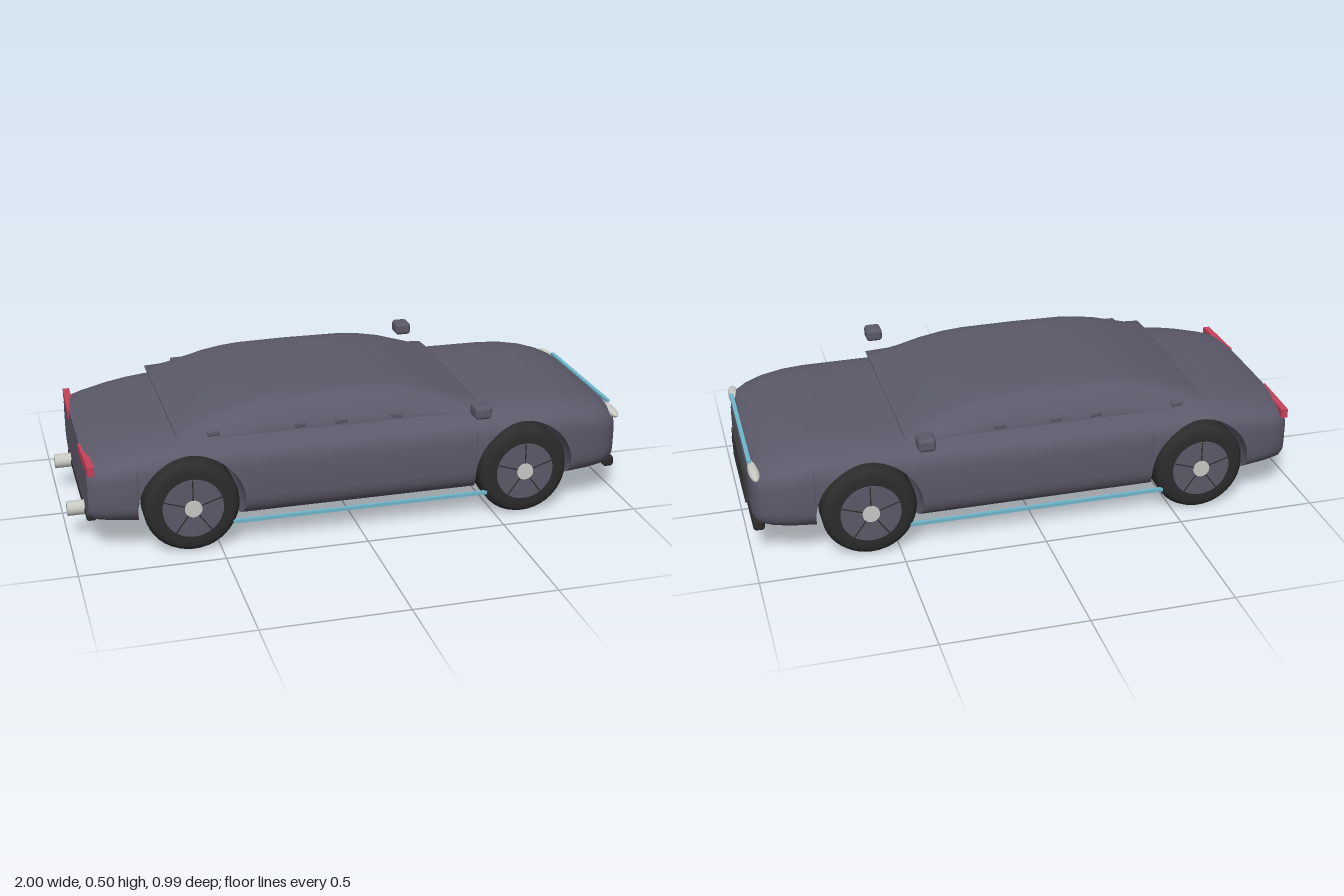
import * as THREE from 'three';
import { toCreasedNormals } from 'three/addons/utils/BufferGeometryUtils.js';
import { RoundedBoxGeometry } from 'three/addons/geometries/RoundedBoxGeometry.js';

const material = (name, color) => {
  const m = new THREE.MeshStandardMaterial({ color });
  m.name = name;
  return m;
};

// Linear interpolation in a table of [x, value, value, ...]
function sample(table, x) {
  let i = 0;
  while (i < table.length - 2 && x > table[i + 1][0]) i++;
  const a = table[i], b = table[i + 1];
  const t = THREE.MathUtils.clamp((x - a[0]) / (b[0] - a[0]), 0, 1);
  return a.slice(1).map((v, k) => v + (b[k + 1] - v) * t);
}

const quad = (out, a, b, c, d) => out.push(...a, ...b, ...c, ...a, ...c, ...d);

// Skin between rings that run up the +z side and down the -z side
function skin(out, rings, closed) {
  for (let i = 0; i + 1 < rings.length; i++) {
    const p = rings[i], q = rings[i + 1], n = p.length;
    for (let j = 0; j < (closed ? n : n - 1); j++) {
      const k = (j + 1) % n;
      quad(out, p[j], q[j], q[k], p[k]);
    }
  }
}

// Wall across the car over the first rows of a ring
function wall(out, ring, rows, facingFront) {
  const n = ring.length - 1;
  for (let j = 0; j < rows; j++) {
    const c = [ring[j], ring[n - j], ring[n - j - 1], ring[j + 1]];
    if (!facingFront) c.reverse();
    quad(out, ...c);
  }
}

function toGeometry(positions, crease) {
  const g = new THREE.BufferGeometry();
  g.setAttribute('position', new THREE.Float32BufferAttribute(positions, 3));
  return toCreasedNormals(g, crease);
}

const WHEELS = [-0.595, 0.6], AXLE = 0.165, ARCH = 0.184;

// x, half width, bottom, top
const BODY = [
  [-0.94, 0.365, 0.112, 0.332], [-0.92, 0.385, 0.106, 0.34], [-0.87, 0.4, 0.1, 0.353],
  [-0.78, 0.414, 0.092, 0.373], [-0.7, 0.42, 0.087, 0.387], [-0.62, 0.424, 0.084, 0.395],
  [-0.4, 0.427, 0.08, 0.396], [0.4, 0.427, 0.08, 0.397], [0.7, 0.422, 0.085, 0.397],
  [0.78, 0.415, 0.09, 0.393], [0.86, 0.404, 0.095, 0.38], [0.92, 0.388, 0.1, 0.362],
  [0.96, 0.364, 0.105, 0.344], [0.978, 0.335, 0.11, 0.328], [0.986, 0.295, 0.12, 0.305],
];

function bodyGeometry() {
  const LOW = 10, HIGH = 18, N = 4.5, out = [];
  const spow = (v, e) => Math.sign(v) * Math.abs(v) ** e;
  // Rounded section at x; startY gives an open section, edge bends it round an arch
  function ring(x, startY, edge) {
    const [w, bottom, top] = sample(BODY, x);
    const mid = (bottom + top) / 2, h = (top - bottom) / 2;
    const angleAt = (y) => Math.asin(THREE.MathUtils.clamp(spow((y - mid) / h, N / 2), -1, 1));
    const angles = [], split = angleAt(startY ?? AXLE);
    if (startY === undefined)
      for (let i = 0; i < LOW; i++) angles.push(-Math.PI / 2 + (split + Math.PI / 2) * i / LOW);
    for (let i = 0; i <= HIGH; i++) angles.push(split + (Math.PI / 2 - split) * i / HIGH);
    const side = angles.map((a) => {
      const y = mid + h * spow(Math.sin(a), 2 / N);
      const z = w * Math.max(Math.cos(a), 0) ** (2 / N);
      const px = edge && y < AXLE
        ? edge.c + edge.s * Math.sqrt(ARCH ** 2 - (y - AXLE) ** 2) : x;
      return [px, y, z];
    });
    return [...side, ...side.slice().reverse().map(([px, y, z]) => [px, y, -z])];
  }
  // Solid stretches behind, between and ahead of the arches
  const [r, f] = WHEELS, x0 = BODY[0][0], x1 = BODY[BODY.length - 1][0];
  const spans = [
    [x0, r - ARCH, null, { c: r, s: -1 }],
    [r + ARCH, f - ARCH, { c: r, s: 1 }, { c: f, s: -1 }],
    [f + ARCH, x1, { c: f, s: 1 }, null],
  ];
  for (const [a, b, ea, eb] of spans) {
    const xs = [a, ...BODY.map((s) => s[0]).filter((x) => x > a + 0.004 && x < b - 0.004), b];
    const rings = xs.map((x, i) => ring(x, undefined, i === 0 ? ea : i === xs.length - 1 ? eb : null));
    skin(out, rings, false);
    wall(out, rings[0], ea ? LOW : LOW + HIGH, false);
    wall(out, rings[rings.length - 1], eb ? LOW : LOW + HIGH, true);
  }
  // Stretches over the wheels, with the arch running right across
  for (const c of WHEELS) {
    const rings = [];
    for (let i = 0; i <= 24; i++) {
      const t = Math.PI * i / 24;
      rings.push(ring(c - ARCH * Math.cos(t), AXLE + ARCH * Math.sin(t)));
    }
    skin(out, rings, true);
  }
  return toGeometry(out, 0.7);
}

// Domed cabin, narrowing towards the roof
function cabinGeometry() {
  const ROOF = [
    [-0.63, 0.402], [-0.57, 0.425], [-0.5, 0.449], [-0.42, 0.472], [-0.35, 0.485], [-0.28, 0.492],
    [-0.1, 0.495], [0.1, 0.493], [0.18, 0.486], [0.26, 0.47], [0.34, 0.444], [0.4, 0.422], [0.46, 0.402],
  ];
  const SIDE = [[0.38, 0], [0.377, 0.14], [0.35, 0.5], [0.322, 0.8], [0.305, 0.91], [0.275, 0.97], [0.21, 1], [0, 1]];
  const out = [], base = 0.395;
  const rings = ROOF.map(([x, top]) => {
    const side = SIDE.map(([z, v]) => [x, base + (top - base) * v, z]);
    return [...side, ...side.slice().reverse().map(([px, y, z]) => [px, y, -z])];
  });
  skin(out, rings, true);
  wall(out, rings[0], SIDE.length - 1, false);
  wall(out, rings[rings.length - 1], SIDE.length - 1, true);
  return toGeometry(out, 0.7);
}

export function createModel() {
  const car = new THREE.Group();
  car.name = 'car';
  const paint = material('slate paint', 0x5c5a6a);
  const rubber = material('black rubber', 0x2c2c2c);
  const trim = material('dark trim', 0x3a3a3a);
  const silver = material('pale silver', 0xc9c9c4);
  const red = material('red lamp', 0xc8415c);
  const cyan = material('cyan light', 0x70b8cc);

  function add(name, geometry, mat, x = 0, y = 0, z = 0, parent = car) {
    const mesh = new THREE.Mesh(geometry, mat);
    mesh.name = name;
    mesh.position.set(x, y, z);
    parent.add(mesh);
    return mesh;
  }
  const box = (x, y, z) => new THREE.BoxGeometry(x, y, z);
  const rounded = (x, y, z, r) => new RoundedBoxGeometry(x, y, z, 3, r);

  add('body', bodyGeometry(), paint);
  add('cabin', cabinGeometry(), paint);

  // Wheels: tyre, rim disc with dark slots, hub
  const tyreProfile = [[0, -0.062], [0.125, -0.062], [0.145, -0.06], [0.158, -0.052], [0.165, -0.036],
    [0.165, 0.036], [0.158, 0.052], [0.145, 0.06], [0.125, 0.062], [0, 0.062]]
    .map(([x, y]) => new THREE.Vector2(x, y));
  const tyre = new THREE.LatheGeometry(tyreProfile, 40).rotateX(Math.PI / 2);
  const rim = new THREE.CylinderGeometry(0.105, 0.105, 0.008, 36).rotateX(Math.PI / 2);
  const hub = new THREE.CylinderGeometry(0.03, 0.03, 0.014, 20).rotateX(Math.PI / 2);
  for (const x of WHEELS) for (const s of [1, -1]) {
    const wheel = new THREE.Group();
    wheel.name = (x > 0 ? 'front' : 'rear') + (s > 0 ? 'Right' : 'Left') + 'Wheel';
    wheel.position.set(x, AXLE, s * 0.362);
    if (s < 0) wheel.rotation.y = Math.PI;
    add('tyre', tyre, rubber, 0, 0, 0, wheel);
    add('rim', rim, paint, 0, 0, 0.062, wheel);
    add('hub', hub, silver, 0, 0, 0.064, wheel);
    for (let i = 0; i < 5; i++) {
      const a = Math.PI / 2 + i * Math.PI * 2 / 5;
      add('rimSlot', box(0.074, 0.004, 0.002), rubber, 0.067 * Math.cos(a), 0.067 * Math.sin(a), 0.0665, wheel)
        .rotation.z = a;
    }
    car.add(wheel);
  }

  // Nose: plate, bumper and light bar
  add('frontPlate', box(0.014, 0.115, 0.36), trim, 0.991, 0.188, 0);
  add('frontBumper', rounded(0.04, 0.04, 0.67, 0.012), rubber, 0.97, 0.12, 0);
  add('frontLightBar', box(0.014, 0.01, 0.53), cyan, 0.981, 0.333, 0);
  add('rearBumper', rounded(0.035, 0.03, 0.6, 0.01), rubber, -0.925, 0.113, 0);

  // Paired details on both sides
  for (const s of [1, -1]) {
    add('headlight', new THREE.SphereGeometry(1, 24, 16).scale(0.02, 0.017, 0.076), silver, 0.97, 0.315, s * 0.295);
    add('tailLight', box(0.024, 0.033, 0.22), red, -0.93, 0.316, s * 0.27).rotation.y = s * 0.03;
    add('exhaust', new THREE.CylinderGeometry(0.026, 0.026, 0.1, 24).rotateZ(Math.PI / 2), silver, -0.95, 0.115, s * 0.21);
    add('mirror', rounded(0.06, 0.047, 0.068, 0.013), paint, 0.412, 0.431, s * 0.462);
    add('sillLight', box(0.92, 0.012, 0.012), cyan, 0.003, 0.094, s * 0.415);
    for (const x of [-0.51, -0.21, -0.065, 0.135])
      add('doorHandle', rounded(0.042, 0.018, 0.02, 0.005), paint, x, 0.41, s * 0.371);
  }
  return car;
}
